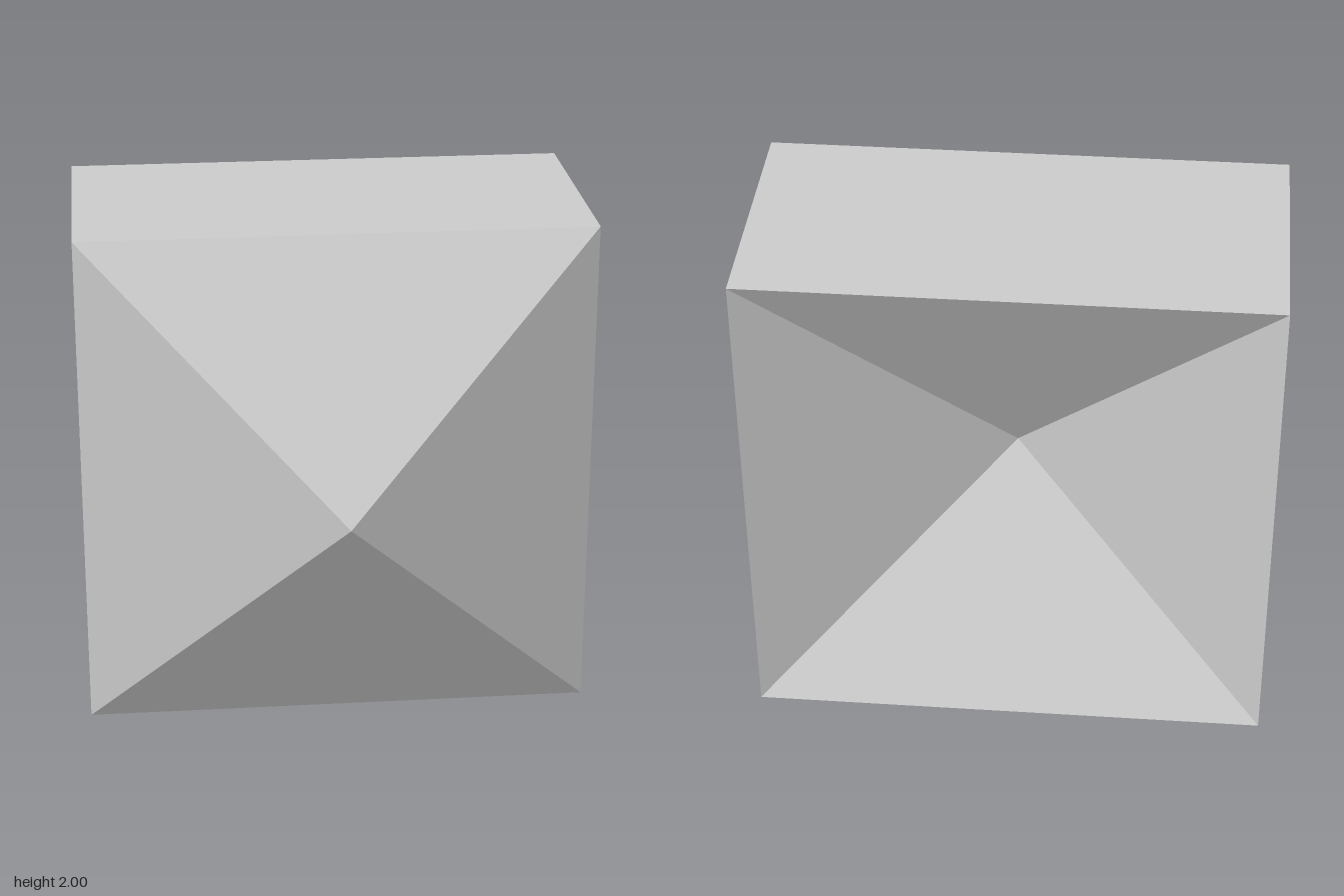
import * as THREE from 'three';

const material = new THREE.MeshStandardMaterial({ color: 0xcccccc, flatShading: true });

// Square section swept around the z axis; profile points are [half width, z]
function squareLathe(name, profile) {
  const points = profile.map(([half, z]) => new THREE.Vector2(half * Math.SQRT2, z));
  const geometry = new THREE.LatheGeometry(points, 4, Math.PI / 4).rotateX(Math.PI / 2).toNonIndexed();
  geometry.computeVertexNormals();
  const mesh = new THREE.Mesh(geometry, material);
  mesh.name = name;
  mesh.position.y = 1;
  return mesh;
}

export function createModel() {
  const group = new THREE.Group();
  group.name = 'pyramidBlock';
  group.add(
    // Pyramid sunk into the back, its tip halfway through the block
    squareLathe('backRecess', [[0, -0.25], [1, -0.75]]),
    // Four flat outer walls
    squareLathe('sideWalls', [[1, -0.75], [1, 0.25]]),
    // Matching pyramid standing out at the front
    squareLathe('frontPyramid', [[1, 0.25], [0, 0.75]]),
  );
  return group;
}
